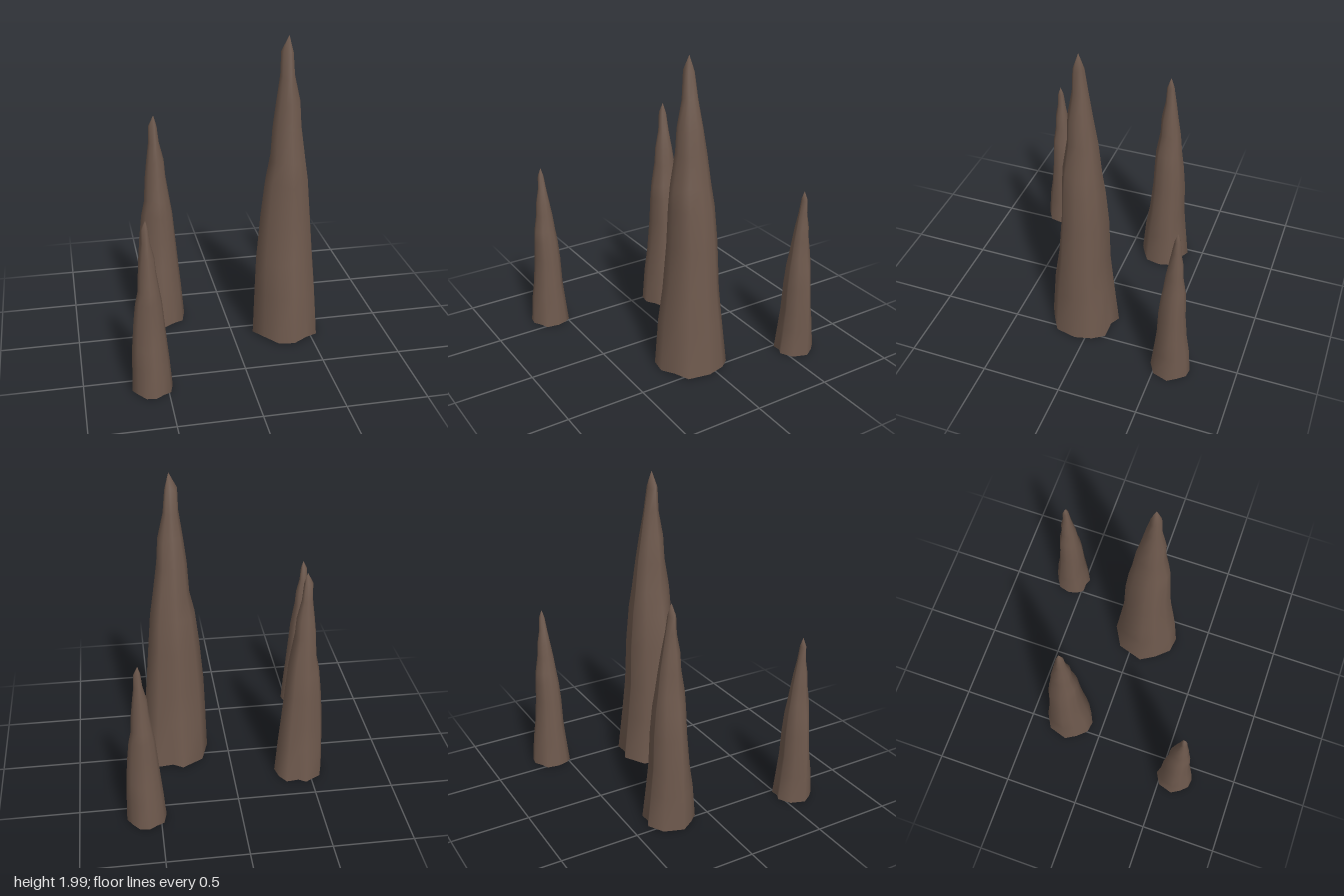
import * as THREE from 'three';

// Irregular footprint (x, z), ordered around the base and measured from the tip
const outline = [
  [-0.02, -0.235], [0.045, -0.203], [0.15, -0.2], [0.21, -0.13], [0.235, -0.02], [0.2, 0.115],
  [0.12, 0.165], [0.03, 0.21], [-0.07, 0.195], [-0.15, 0.11], [-0.205, 0.01], [-0.155, -0.16],
];

// Cross-sections: height, reach towards -x, +x, -z, +z
const rings = [
  [0.02, 0.205, 0.235, 0.235, 0.21],
  [0.33, 0.195, 0.21, 0.2, 0.185],
  [0.55, 0.187, 0.19, 0.178, 0.152],
  [0.85, 0.163, 0.165, 0.17, 0.127],
  [1.08, 0.138, 0.145, 0.15, 0.12],
  [1.22, 0.107, 0.122, 0.13, 0.112],
  [1.42, 0.095, 0.092, 0.108, 0.078],
  [1.58, 0.075, 0.08, 0.08, 0.072],
  [1.75, 0.052, 0.042, 0.054, 0.042],
  [1.9, 0.049, 0.028, 0.03, 0.035],
];

// Loft the footprint through the cross-sections and close it at the tip
function spireGeometry() {
  const n = outline.length, pos = [], index = [];
  rings.forEach(([y, left, right, back, front], r) => {
    outline.forEach(([x, z], i) => {
      const wave = r === 0 ? 0.007 * Math.sin(i * 2.3) : 0.012 * Math.sin(i * 1.9 + r);
      pos.push(
        x < 0 ? x * left / 0.205 : x * right / 0.235,
        y + wave,
        z < 0 ? z * back / 0.235 : z * front / 0.21,
      );
    });
  });
  const tip = pos.length / 3;
  pos.push(0, 2, 0);
  for (let r = 0; r < rings.length; r++) {
    for (let i = 0; i < n; i++) {
      const a = r * n + i, b = r * n + (i + 1) % n;
      if (r === rings.length - 1) index.push(a, tip, b);
      else index.push(a, a + n, b, b, a + n, b + n);
    }
  }
  const g = new THREE.BufferGeometry();
  g.setAttribute('position', new THREE.Float32BufferAttribute(pos, 3));
  g.setIndex(index);
  g.computeVertexNormals();
  return g;
}

export function createModel() {
  const group = new THREE.Group();
  group.name = 'stalagmites';
  const rock = new THREE.MeshStandardMaterial({ color: 0x6e594d, side: THREE.DoubleSide });
  rock.name = 'brown rock';
  const geometry = spireGeometry();

  // Name, tip x, tip z, scale, turn
  const spires = [
    ['tallStalagmite', 0.34, 0.08, 1, 0],
    ['mediumStalagmite', -0.445, -0.23, 0.726, 0],
    ['smallFrontStalagmite', -0.6, 0.6, 0.557, 0],
    ['smallBackStalagmite', 0.595, -0.598, 0.557, Math.PI],
  ];
  for (const [name, x, z, scale, turn] of spires) {
    const spire = new THREE.Mesh(geometry, rock);
    spire.name = name;
    spire.position.set(x, 0, z);
    spire.scale.setScalar(scale);
    spire.rotation.y = turn;
    group.add(spire);
  }
  return group;
}
